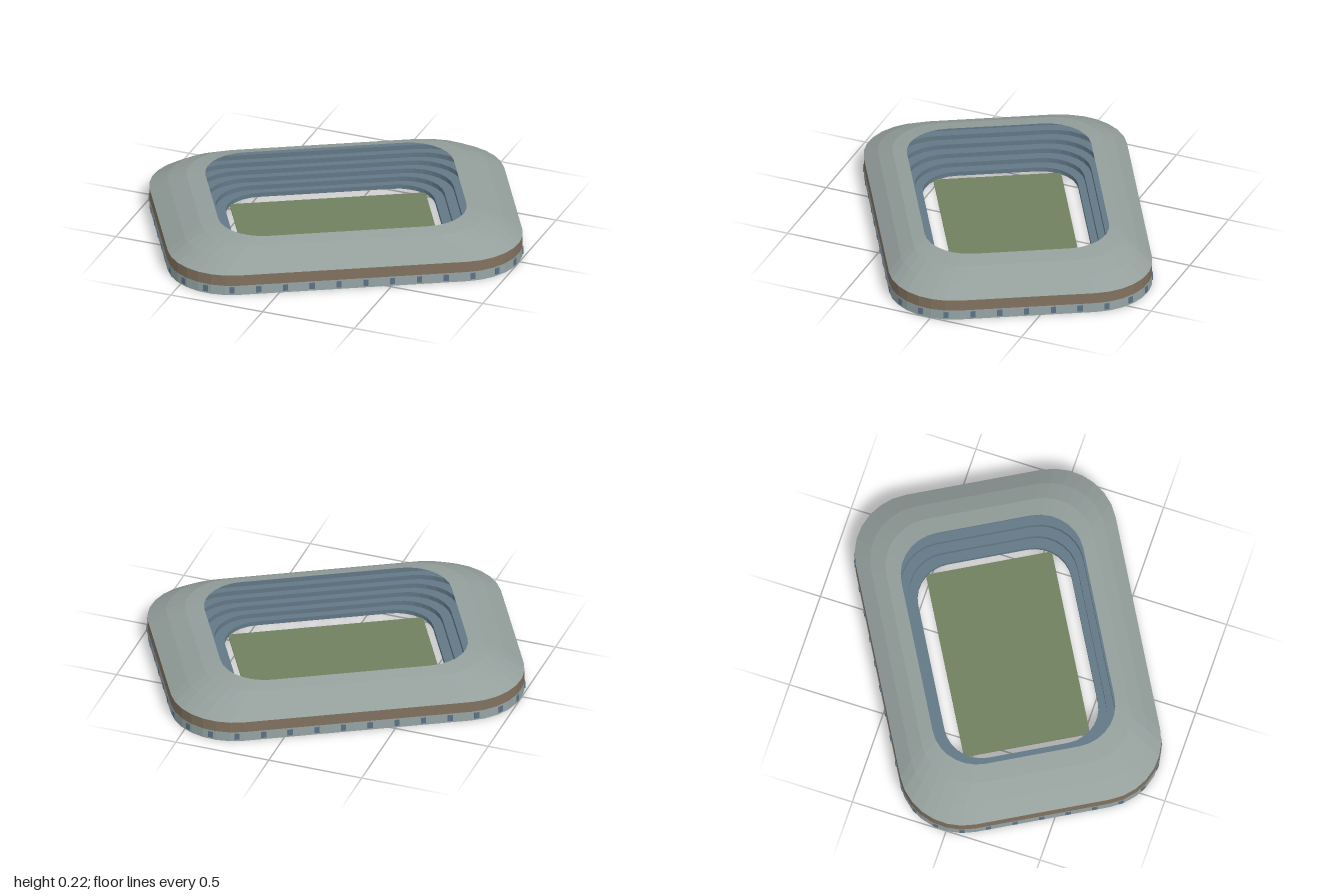
import * as THREE from 'three';

const HALF_LENGTH = 0.905, HALF_WIDTH = 0.67, RADIUS = 0.323;
const CORNER_STEPS = 7, YAW = 0.513;

function material(name, color, doubleSided) {
  const m = new THREE.MeshStandardMaterial({ color });
  m.name = name;
  if (doubleSided) m.side = THREE.DoubleSide;
  return m;
}

// Rounded rectangle plan, shared by the facade, roof and stands
function outline() {
  const points = [];
  const signs = [[1, 1], [-1, 1], [-1, -1], [1, -1]];
  signs.forEach(([sx, sz], corner) => {
    for (let i = 0; i <= CORNER_STEPS; i++) {
      const a = (corner + i / CORNER_STEPS) * Math.PI / 2;
      points.push(new THREE.Vector2(
        sx * (HALF_LENGTH - RADIUS) + RADIUS * Math.cos(a),
        sz * (HALF_WIDTH - RADIUS) + RADIUS * Math.sin(a)));
    }
  });
  return points;
}

// Faceted shell through scaled copies of the plan; each ring is [scale, height]
function loft(plan, rings) {
  const positions = [];
  const n = plan.length;
  const at = ([s, y], j) => [plan[j % n].x * s, y, plan[j % n].y * s];
  for (let i = 0; i < rings.length - 1; i++) {
    for (let j = 0; j < n; j++) {
      const a = at(rings[i], j), b = at(rings[i], j + 1);
      const c = at(rings[i + 1], j + 1), d = at(rings[i + 1], j);
      positions.push(...a, ...d, ...c, ...a, ...c, ...b);
    }
  }
  const g = new THREE.BufferGeometry();
  g.setAttribute('position', new THREE.Float32BufferAttribute(positions, 3));
  g.computeVertexNormals();
  return g;
}

export function createModel() {
  const model = new THREE.Group();
  model.name = 'stadium';
  const bowl = new THREE.Group();
  bowl.name = 'bowl';
  bowl.rotation.y = YAW;
  model.add(bowl);

  const roofGrey = material('roof grey', 0x949f9c, true);
  const wallGrey = material('wall grey', 0x96a4a5, true);
  const tan = material('tan cladding', 0x827260, true);
  const seatBlue = material('seat blue', 0x637886, true);
  const windowBlue = material('window blue', 0x5c7284);
  const grass = material('grass green', 0x70805f, true);

  const plan = outline();
  const add = (name, geometry, mat) => {
    const mesh = new THREE.Mesh(geometry, mat);
    mesh.name = name;
    bowl.add(mesh);
    return mesh;
  };

  // Outer wall and cladding band
  add('lowerWall', loft(plan, [[1, 0], [1, 0.052]]), wallGrey);
  add('claddingBand', loft(plan, [[1, 0.052], [1, 0.11]]), tan);

  // Domed roof ring
  add('roof', loft(plan, [[1, 0.11], [0.9, 0.166], [0.8, 0.205], [0.7, 0.222]]), roofGrey);

  // Stepped seating, listed from the top row down to the pitch
  const steps = 6, rise = 0.025, run = 0.055, inner = 0.59;
  const rows = [];
  for (let i = steps; i > 0; i--) {
    rows.push([inner + run * i, rise * i], [inner + run * (i - 1), rise * i]);
  }
  rows.push([inner, 0.002]);
  add('seating', loft(plan, rows), seatBlue);

  // Playing field
  add('pitch', new THREE.BoxGeometry(1.0, 0.006, 0.65), grass).position.y = 0.004;

  // Windows spaced evenly around the lower wall
  const windows = new THREE.Group();
  windows.name = 'windows';
  bowl.add(windows);
  const pane = new THREE.BoxGeometry(0.026, 0.034, 0.008);
  const count = 42;
  const lengths = plan.map((p, i) => p.distanceTo(plan[(i + 1) % plan.length]));
  const total = lengths.reduce((sum, l) => sum + l, 0);
  for (let k = 0; k < count; k++) {
    let d = (k + 0.5) / count * total, i = 0;
    while (d > lengths[i]) d -= lengths[i++];
    const p = plan[i], q = plan[(i + 1) % plan.length];
    const spot = p.clone().lerp(q, d / lengths[i]);
    const mesh = new THREE.Mesh(pane, windowBlue);
    mesh.name = 'window';
    mesh.position.set(spot.x, 0.027, spot.y);
    mesh.rotation.y = -Math.atan2(q.y - p.y, q.x - p.x);
    windows.add(mesh);
  }
  return model;
}
